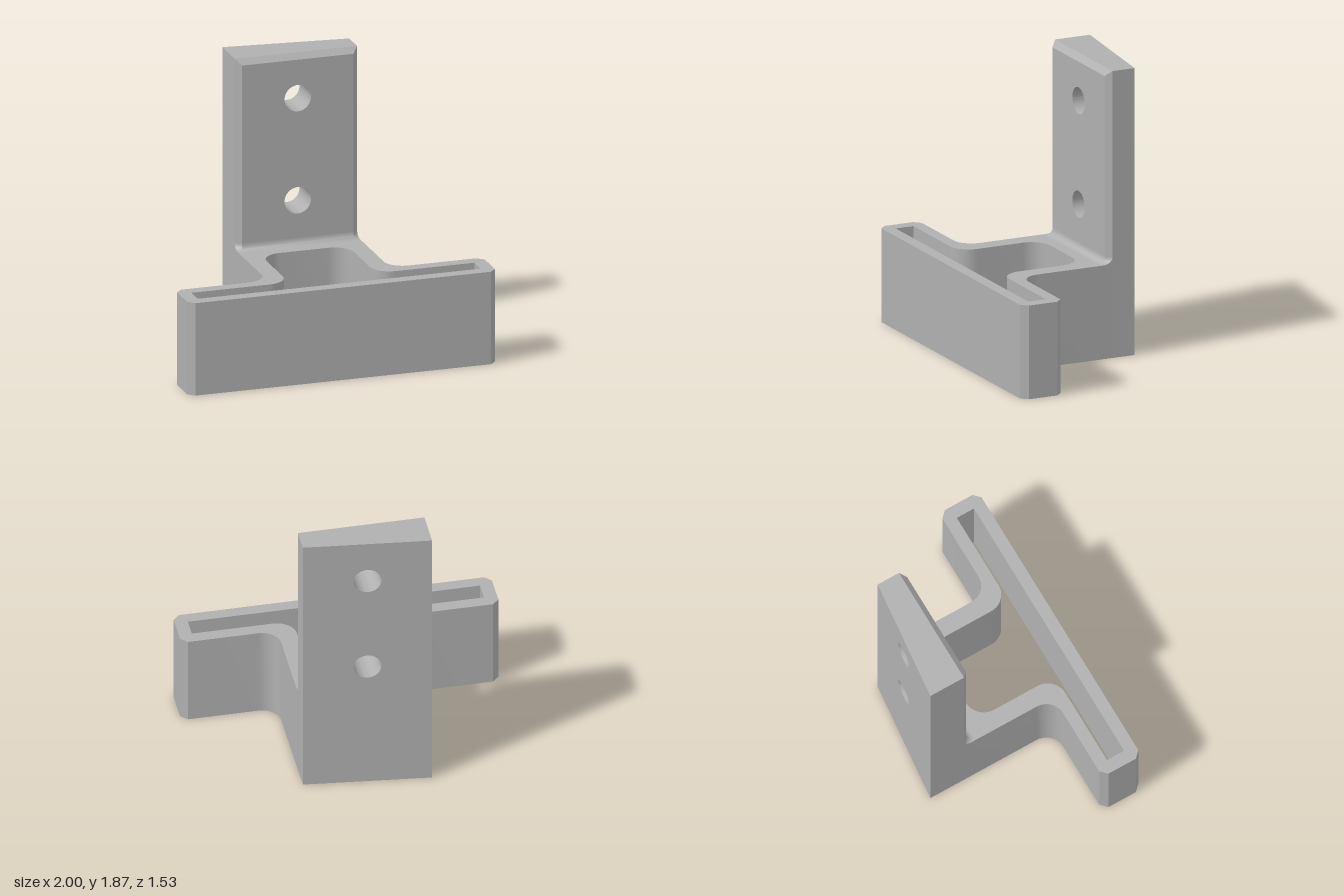
import * as THREE from 'three';
import { toCreasedNormals } from 'three/addons/utils/BufferGeometryUtils.js';

const BASE_TOP = 0.61, TOP = 1.868;
const NECK = 0.404;                  // half width of neck and upright plate
const FACE = 0.43, CHAMFER = 0.037;  // plate front face (distance back) and its edge chamfer
const backAt = (u) => 0.666 - 0.11 * u; // slanted rear face

// Outline through [u, v, radius] corners; corners with a radius are right angles.
function outline(corners, target) {
  const pts = [];
  corners.forEach(([x, y, r], i) => {
    const p = new THREE.Vector2(x, y);
    if (!r) return pts.push(p);
    const n = corners.length;
    const toward = (c) => new THREE.Vector2(c[0], c[1]).sub(p).normalize();
    const a = toward(corners[(i + n - 1) % n]), b = toward(corners[(i + 1) % n]);
    for (let k = 0; k <= 10; k++) {
      const t = (k / 10) * Math.PI / 2;
      pts.push(p.clone()
        .addScaledVector(a, r * (1 - Math.sin(t)))
        .addScaledVector(b, r * (1 - Math.cos(t))));
    }
  });
  return target.setFromPoints(pts);
}

// Completes a left-right symmetric outline from its right half.
const mirrored = (half) => [...half, ...half.map(([x, y, r]) => [-x, y, r]).reverse()];

// Moves every vertex by a rule, then rebuilds the normals.
function reshape(geo, rule) {
  const p = geo.attributes.position, v = new THREE.Vector3();
  for (let i = 0; i < p.count; i++) {
    rule(v.fromBufferAttribute(p, i), i);
    p.setXYZ(i, v.x, v.y, v.z);
  }
  geo.computeVertexNormals();
  return toCreasedNormals(geo, 0.6);
}

// Hollow base: long slotted bar with a U-shaped neck running back
function baseGeometry() {
  const shape = outline(mirrored([
    [1.075 - 0.1, -0.464], [1.017, -0.422], [1.017, -0.223], [0.975, -0.181],
    [NECK, -0.181, 0.122], [NECK, backAt(NECK)],
  ]), new THREE.Shape());
  // rear corners follow the slanted back face
  const slanted = shape.getPoints().map((q) =>
    (q.y > 0.5 ? new THREE.Vector2(q.x, backAt(q.x)) : q));
  const body = new THREE.Shape(slanted);
  body.holes.push(outline(mirrored([
    [0.934, -0.385], [0.934, -0.261], [0.288, -0.261, 0.128], [0.288, 0.31, 0.128],
  ]), new THREE.Path()));
  const geo = new THREE.ExtrudeGeometry(body, { depth: BASE_TOP, bevelEnabled: false });
  geo.rotateX(-Math.PI / 2);
  return toCreasedNormals(geo, 0.6);
}

// Upright plate: two screw holes, chamfered front edges, slanted back
function plateGeometry() {
  const shape = outline([
    [-NECK, BASE_TOP], [NECK, BASE_TOP], [NECK, TOP], [-NECK, TOP],
  ], new THREE.Shape());
  for (const y of [0.903, 1.577]) {
    shape.holes.push(new THREE.Path().absarc(0, y, 0.087, 0, Math.PI * 2, true));
  }
  const geo = new THREE.ExtrudeGeometry(shape,
    { depth: 1, steps: 2, bevelEnabled: false, curveSegments: 32 });
  return reshape(geo, (v) => {
    if (v.z < 0.25) v.z = -backAt(v.x);
    else if (v.z < 0.75) v.z = -(FACE + CHAMFER);
    else {
      v.z = -FACE;
      if (Math.abs(v.x) > NECK - 0.001) v.x -= Math.sign(v.x) * CHAMFER;
      if (v.y > TOP - 0.001) v.y -= CHAMFER;
    }
  });
}

// Rounded fillet where the plate front meets the base, following the chamfers
function filletGeometry() {
  const r = 0.045, rows = 8;
  const geo = new THREE.PlaneGeometry(1, 1, 5, rows);
  return reshape(geo, (v, i) => {
    const col = i % 6, row = rows - Math.floor(i / 6);
    const t = (row / rows) * Math.PI / 2;
    const d = r * (1 - Math.sin(t));
    const side = col < 3 ? -1 : 1, k = Math.min(col, 5 - col);
    const across = k < 2 ? NECK : NECK - CHAMFER + 0.414 * d;
    const back = [FACE + CHAMFER, FACE + CHAMFER - Math.SQRT2 * d, FACE - d][k];
    v.set(side * across, BASE_TOP + r * (1 - Math.cos(t)), -back);
  });
}

export function createModel() {
  const grey = new THREE.MeshStandardMaterial({ color: 0xb0b0b0 });
  grey.name = 'grey';

  const bracket = new THREE.Group();
  bracket.name = 'bracket';
  const parts = {
    slottedBase: baseGeometry(),
    uprightPlate: plateGeometry(),
    plateFillet: filletGeometry(),
  };
  for (const [name, geo] of Object.entries(parts)) {
    const mesh = new THREE.Mesh(geo, grey);
    mesh.name = name;
    bracket.add(mesh);
  }
  // the whole bracket stands turned about the vertical
  bracket.rotation.y = -THREE.MathUtils.degToRad(17.46);
  bracket.position.set(0.096, 0, 0.03);

  const model = new THREE.Group();
  model.name = 'model';
  model.add(bracket);
  return model;
}
